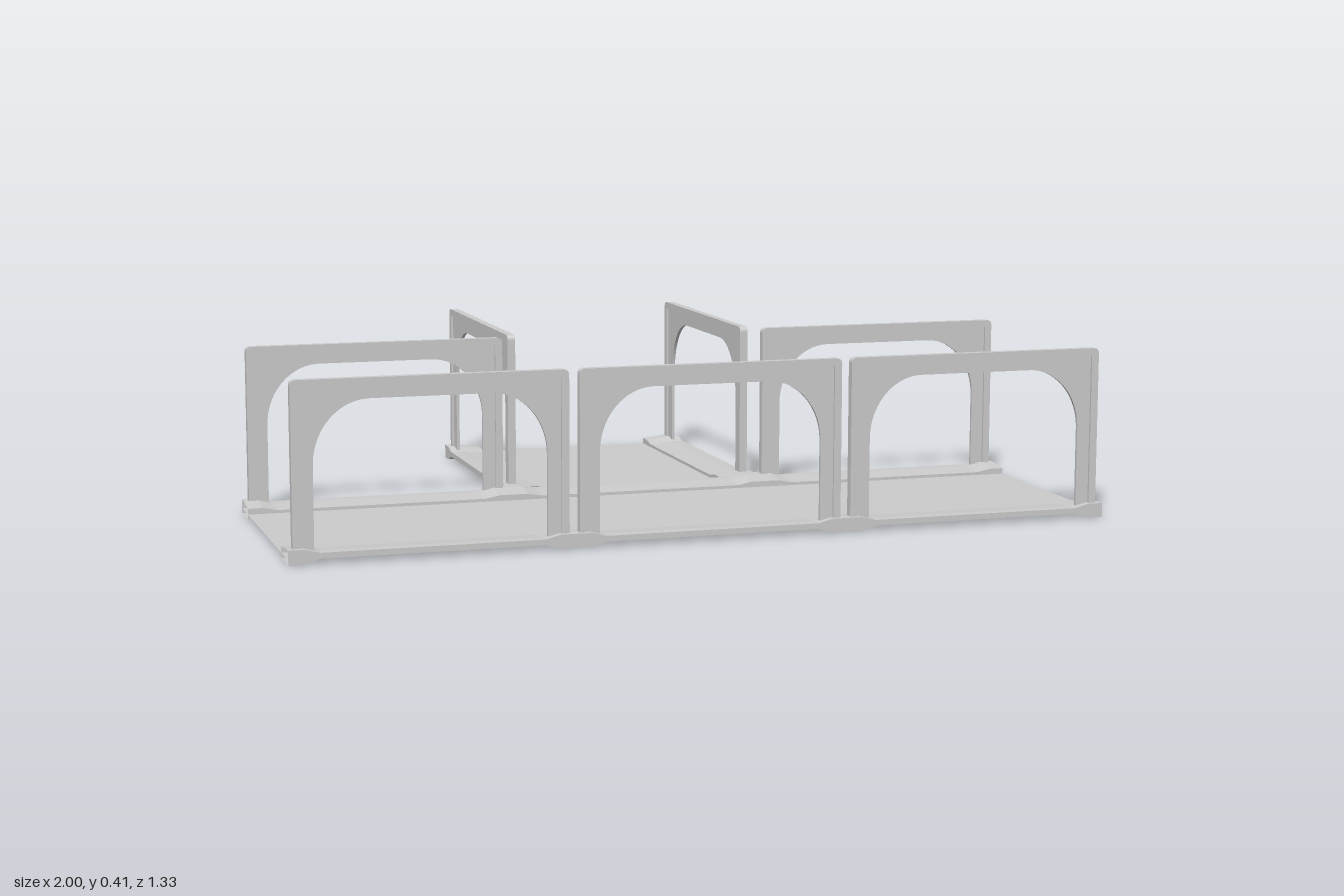
import * as THREE from 'three';

const TILE = 2 / 3, HALF = TILE / 2, FLOOR_Y = 0.0125;
const grey = new THREE.MeshStandardMaterial({ color: 0xcccccc, side: THREE.DoubleSide, flatShading: true });

function mesh(geometry, name) {
  const m = new THREE.Mesh(geometry, grey);
  m.name = name;
  return m;
}

// Edge kerb: open-ended shell along x, outer face at z = 0, thick feet at both ends
function kerbGeometry() {
  const foot = { b: 0, t: 0.035, ti: 0.027 }, mid = { b: FLOOR_Y, t: 0.026, ti: 0.02 };
  const stations = [[-HALF, foot], [-0.297, foot], [-0.26, mid], [0.26, mid], [0.297, foot], [HALF, foot]];
  const pos = [], idx = [], n = 5;
  for (const [x, s] of stations) {
    pos.push(x, s.b, 0, x, s.t, 0, x, s.t, -0.03, x, s.ti, -0.093, x, s.b, -0.093);
  }
  for (let i = 0; i < stations.length - 1; i++) {
    for (let j = 0; j < n; j++) {
      if (i === 2 && j === n - 1) continue; // the floor closes the middle underside
      const a = i * n + j, d = i * n + (j + 1) % n;
      idx.push(a, a + n, d + n, a, d + n, d);
    }
  }
  const g = new THREE.BufferGeometry();
  g.setAttribute('position', new THREE.Float32BufferAttribute(pos, 3));
  g.setIndex(idx);
  const flat = g.toNonIndexed();
  flat.computeVertexNormals();
  return flat;
}

function extrudeCentred(shape, depth) {
  return new THREE.ExtrudeGeometry(shape, { depth, bevelEnabled: false, curveSegments: 10 })
    .translate(0, 0, -depth / 2 - 0.023);
}

// Raised rim round the sides and top of the arch panel
function rimGeometry() {
  const w = 0.321, top = 0.415, r = 0.014, t = 0.018, y0 = 0.026;
  const s = new THREE.Shape();
  s.moveTo(-w, y0);
  s.lineTo(-w + t, y0);
  s.lineTo(-w + t, top - t);
  s.lineTo(w - t, top - t);
  s.lineTo(w - t, y0);
  s.lineTo(w, y0);
  s.lineTo(w, top - r);
  s.quadraticCurveTo(w, top, w - r, top);
  s.lineTo(-w + r, top);
  s.quadraticCurveTo(-w, top, -w, top - r);
  return extrudeCentred(s, 0.02);
}

// Thin panel with the flat-topped arch opening
function panelGeometry() {
  const w = 0.304, top = 0.398, y0 = 0.022, ow = 0.271, flat = 0.14, spring = 0.22, rise = 0.147;
  const s = new THREE.Shape();
  s.moveTo(-w, y0);
  s.lineTo(-ow, y0);
  s.lineTo(-ow, spring);
  s.absellipse(-flat, spring, ow - flat, rise, Math.PI, Math.PI / 2, true);
  s.lineTo(flat, spring + rise);
  s.absellipse(flat, spring, ow - flat, rise, Math.PI / 2, 0, true);
  s.lineTo(ow, y0);
  s.lineTo(w, y0);
  s.lineTo(w, top);
  s.lineTo(-w, top);
  return extrudeCentred(s, 0.008);
}

export function createModel() {
  const model = new THREE.Group();
  model.name = 'archedWalkway';

  // Four square floor tiles in a T
  const floorGeo = new THREE.PlaneGeometry(TILE, TILE).rotateX(-Math.PI / 2);
  for (const [x, z] of [[-TILE, HALF], [0, HALF], [TILE, HALF], [0, -HALF]]) {
    const floor = mesh(floorGeo, 'floorTile');
    floor.position.set(x, FLOOR_Y, z);
    model.add(floor);
  }

  const kerb = kerbGeometry(), rim = rimGeometry(), panel = panelGeometry();
  function addEdge(name, x, z, turn, arched = true) {
    const edge = new THREE.Group();
    edge.name = name;
    edge.add(mesh(kerb, 'kerb'));
    if (arched) edge.add(mesh(rim, 'archRim'), mesh(panel, 'archPanel'));
    edge.position.set(x, 0, z);
    edge.rotation.y = turn;
    model.add(edge);
  }

  // Front and back of the long arm; the middle of the back stays open
  for (const i of [-1, 0, 1]) {
    addEdge('frontWall', i * TILE, TILE, 0);
    addEdge(i ? 'backWall' : 'threshold', i * TILE, 0, Math.PI, i !== 0);
  }
  // Both sides of the stem
  for (const side of [-1, 1]) addEdge('stemWall', side * HALF, -HALF, side * Math.PI / 2);

  return model;
}
